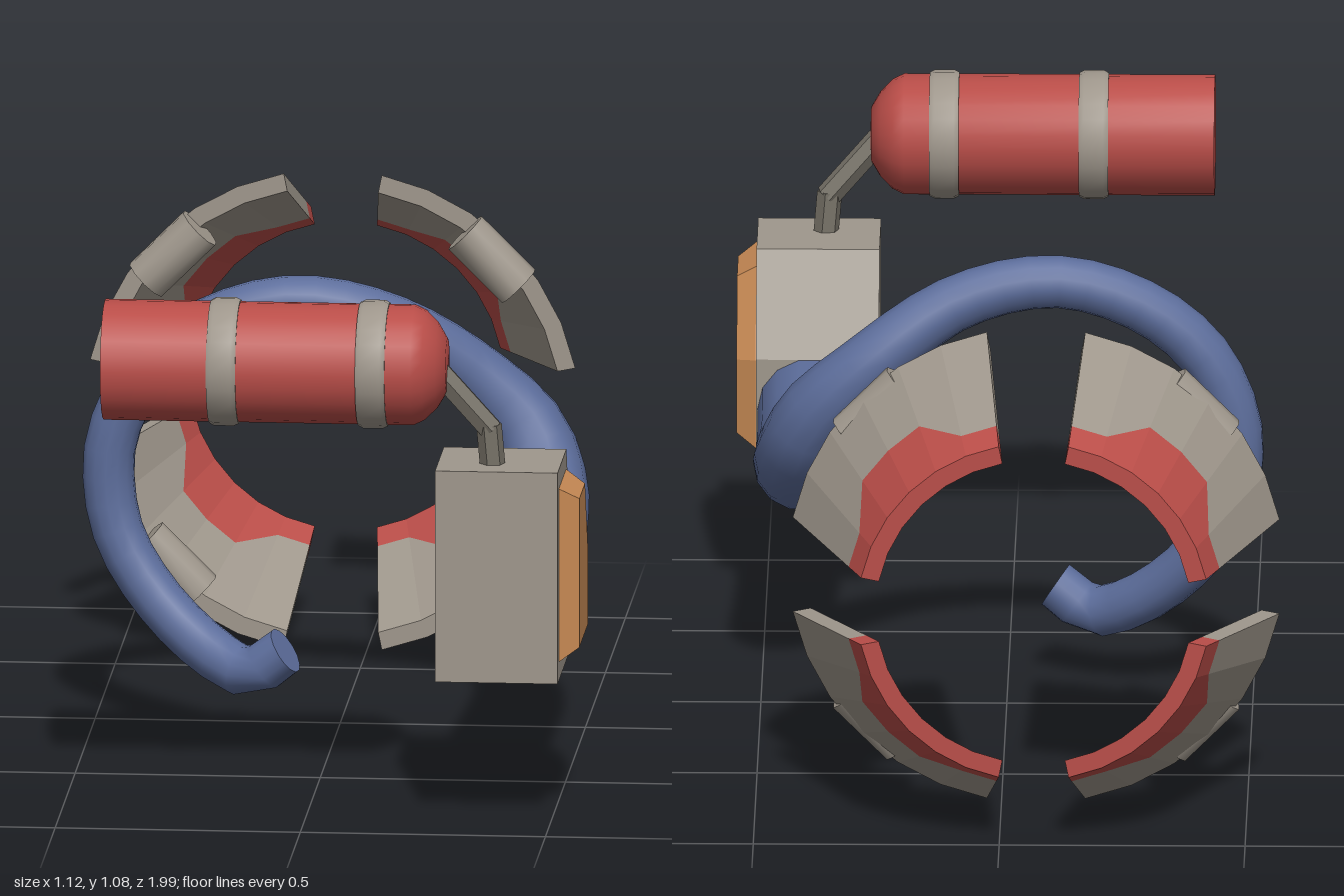
import * as THREE from 'three';
import { toCreasedNormals } from 'three/addons/utils/BufferGeometryUtils.js';

const material = (name, color, options = {}) => {
  const m = new THREE.MeshStandardMaterial({ color, ...options });
  m.name = name;
  return m;
};

export function createModel() {
  const grey = material('warm grey', 0x9f978c);
  const darkGrey = material('dark grey', 0x767167);
  const red = material('red', 0xb94d48);
  const blue = material('blue', 0x5c6d9b);
  const orange = material('orange', 0xc98b55);

  const model = new THREE.Group();
  model.name = 'model';
  const add = (parent, name, geometry, mat) => {
    const mesh = new THREE.Mesh(geometry, mat);
    mesh.name = name;
    parent.add(mesh);
    return mesh;
  };
  const crease = (g, angle = 0.7) => toCreasedNormals(g, angle);

  // Conical claw petals: curved shells, narrow at the back with a red tip
  const SEG = 6, HALF = 0.586, FRONT = -0.67, BACK = -1, THICK = 0.037;
  const tipEdge = [-0.94, -0.94, -0.857, -0.857, -0.857, -0.94, -0.94];
  const shell = (front, back, capFront) => {
    const pos = [];
    const P = (inset, i, z) => {
      const r = 0.358 + (z - BACK) * 0.445 - inset;
      const a = -HALF + (2 * HALF * i) / SEG;
      return [r * Math.cos(a), r * Math.sin(a), z];
    };
    const quad = (a, b, c, d) => pos.push(...a, ...b, ...c, ...a, ...c, ...d);
    for (let i = 0; i < SEG; i++) {
      const j = i + 1;
      const [fi, fj, bi, bj] = [front(i), front(j), back(i), back(j)];
      quad(P(0, i, fi), P(0, i, bi), P(0, j, bj), P(0, j, fj));
      quad(P(THICK, i, fi), P(THICK, j, fj), P(THICK, j, bj), P(THICK, i, bi));
      if (capFront) quad(P(0, i, fi), P(0, j, fj), P(THICK, j, fj), P(THICK, i, fi));
      else quad(P(0, i, bi), P(THICK, i, bi), P(THICK, j, bj), P(0, j, bj));
    }
    const [f0, b0, f1, b1] = [front(0), back(0), front(SEG), back(SEG)];
    quad(P(0, 0, f0), P(THICK, 0, f0), P(THICK, 0, b0), P(0, 0, b0));
    quad(P(0, SEG, f1), P(0, SEG, b1), P(THICK, SEG, b1), P(THICK, SEG, f1));
    const g = new THREE.BufferGeometry();
    g.setAttribute('position', new THREE.Float32BufferAttribute(pos, 3));
    g.computeVertexNormals();
    return g;
  };
  const bodyGeo = shell(() => FRONT, i => tipEdge[i], true);
  const tipGeo = shell(i => tipEdge[i], () => BACK, false);
  const hingeGeo = crease(new THREE.CylinderGeometry(0.048, 0.048, 0.155, 10), 0.9);
  for (let k = 0; k < 4; k++) {
    const petal = new THREE.Group();
    petal.name = 'clawPetal' + (k + 1);
    petal.position.set(-0.07, 0.5, 0);
    petal.rotation.z = Math.PI / 4 + (k * Math.PI) / 2;
    add(petal, 'petalBody', bodyGeo, grey);
    add(petal, 'petalTip', tipGeo, red);
    add(petal, 'petalHinge', hingeGeo, grey).position.set(0.46, 0, -0.662);
    model.add(petal);
  }

  // Tapering arm: control points as x, y, z, radius
  const arm = [
    [0.41, 0.44, 0.64, 0.107], [0.41, 0.433, 0.4, 0.105], [0.42, 0.455, 0.2, 0.1],
    [0.42, 0.53, 0.05, 0.088], [0.385, 0.62, -0.005, 0.08], [0.29, 0.72, -0.02, 0.066],
    [0.1, 0.85, 0.02, 0.057], [-0.1, 0.89, 0.035, 0.054], [-0.28, 0.835, 0.04, 0.054],
    [-0.4, 0.735, 0.04, 0.054], [-0.463, 0.6, 0.04, 0.053], [-0.466, 0.48, 0.04, 0.053],
    [-0.44, 0.385, 0.05, 0.052], [-0.365, 0.275, 0.08, 0.052], [-0.26, 0.185, 0.13, 0.053],
    [-0.17, 0.15, 0.18, 0.052], [-0.096, 0.199, 0.195, 0.05],
  ];
  const path = new THREE.CatmullRomCurve3(arm.map(p => new THREE.Vector3(p[0], p[1], p[2])));
  const RINGS = 44, SIDES = 14;
  const tube = new THREE.TubeGeometry(path, RINGS, 1, SIDES);
  const v = new THREE.Vector3();
  for (let i = 0; i <= RINGS; i++) {
    const s = path.getUtoTmapping(i / RINGS) * (arm.length - 1);
    const n = Math.min(Math.floor(s), arm.length - 2);
    const radius = THREE.MathUtils.lerp(arm[n][3], arm[n + 1][3], s - n);
    const centre = path.getPointAt(i / RINGS);
    for (let j = 0; j <= SIDES; j++) {
      const id = i * (SIDES + 1) + j;
      v.fromBufferAttribute(tube.attributes.position, id).sub(centre).multiplyScalar(radius).add(centre);
      tube.attributes.position.setXYZ(id, v.x, v.y, v.z);
    }
  }
  add(model, 'arm', tube, blue);
  const cap = add(model, 'armEnd', new THREE.CircleGeometry(0.05, SIDES), blue);
  cap.position.copy(path.getPointAt(1));
  cap.quaternion.setFromUnitVectors(new THREE.Vector3(0, 0, 1), path.getTangentAt(1));

  // Housing with a sloped back and a bevelled side panel; profiles are z, y
  const sideExtrude = (profile, options) => {
    const shape = new THREE.Shape(profile.map(([z, y]) => new THREE.Vector2(-z, y)));
    return new THREE.ExtrudeGeometry(shape, options).rotateY(Math.PI / 2);
  };
  add(model, 'housing', sideExtrude(
    [[0.94, 0.31], [0.62, 0.31], [0.62, 0.545], [0.72, 0.75], [0.94, 0.75]],
    { depth: 0.25, bevelEnabled: false }), grey).position.x = 0.27;
  add(model, 'sidePanel', sideExtrude(
    [[0.885, 0.375], [0.67, 0.375], [0.67, 0.53], [0.745, 0.685], [0.885, 0.685]],
    { depth: 0.002, bevelThickness: 0.039, bevelSize: 0.025, bevelSegments: 1 }),
    orange).position.x = 0.519;

  // Gas tank with a domed nose and two straps, turned around the x axis
  const tank = new THREE.Group();
  tank.name = 'tank';
  tank.position.set(0, 0.953, 0.863);
  tank.rotation.z = -Math.PI / 2;
  model.add(tank);
  const lathe = points => crease(
    new THREE.LatheGeometry(points.map(([r, h]) => new THREE.Vector2(r, h)), 24), 0.8);
  add(tank, 'tankBody', lathe([[0, -0.41], [0.123, -0.41], [0.123, 0.222], [0.112, 0.245],
    [0.087, 0.27], [0.055, 0.289], [0, 0.291]]), red);
  for (const h of [-0.164, 0.14]) {
    add(tank, 'tankStrap', lathe([[0.12, h - 0.03], [0.126, h - 0.03], [0.131, h - 0.02],
      [0.131, h + 0.02], [0.126, h + 0.03], [0.12, h + 0.03]]), grey);
  }

  // Bent feed pipe from tank nose to housing
  const bends = [[0.26, 0.955, 0.87], [0.374, 0.825, 0.86], [0.382, 0.73, 0.857]]
    .map(p => new THREE.Vector3(...p));
  for (let i = 0; i < 2; i++) {
    const dir = bends[i + 1].clone().sub(bends[i]);
    const g = crease(new THREE.CylinderGeometry(0.026, 0.026, dir.length() + 0.012, 6), 0.5);
    const pipe = add(model, 'feedPipe', g, darkGrey);
    pipe.position.copy(bends[i]).addScaledVector(dir, 0.5);
    pipe.quaternion.setFromUnitVectors(new THREE.Vector3(0, 1, 0), dir.normalize());
  }
  return model;
}
